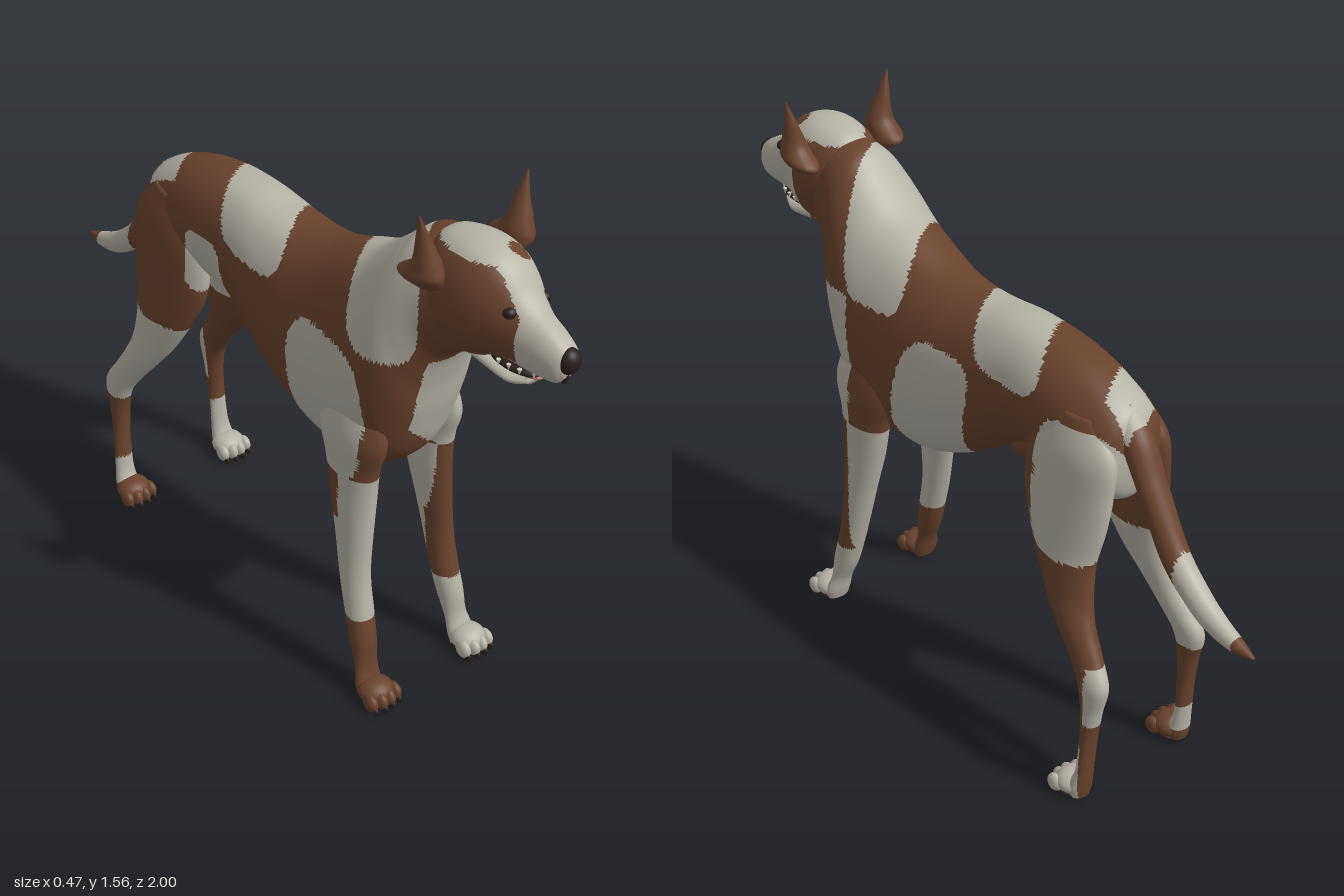
import * as THREE from 'three';

const mat = (name, color) => Object.assign(new THREE.MeshStandardMaterial({ color }), { name });

// rounded coat patch test: superellipse with half sizes ra, rb
const inPatch = (a, b, ca, cb, ra, rb) => ((a - ca) / ra) ** 4 + ((b - cb) / rb) ** 4 < 1;

// white areas of the torso, neck and upper legs
function coat(x, y, z) {
  const u = z + 0.62 * x; // bands run diagonally across the back
  if (inPatch(u, y, 0.415, 1.28, 0.12, 0.2)) return true;
  if (inPatch(u, y, -0.11, 1.24, 0.13, 0.165)) return true;
  if (x > -0.09 && x < 0.05 && inPatch(u, y, -0.515, 1.13, 0.06, 0.09)) return true;
  if (z > 0.41 && y > 0.68 && y < 1.085 && x > -0.07 + Math.max(0, 0.85 - y)) return true;
  if (x > 0) {
    return inPatch(z + 0.3 * (y - 0.87), y, 0.1, 0.87, 0.13, 0.2)
      || inPatch(z, y, -0.45, 0.885, 0.122, 0.185);
  }
  return x < -0.08 && (inPatch(z, y, 0.32, 0.86, 0.15, 0.2) || inPatch(z, y, -0.23, 0.96, 0.075, 0.1));
}

const headCoat = (x, y, z) => {
  if (x < -0.035 && z < 0.86 && y > 1.18 && y < 1.435) return false;
  if (((x - 0.05) / 0.025) ** 2 + ((z - 0.76) / 0.025) ** 2 < 1 && y > 1.36) return false;
  return z > 0.715 || (y > 1.42 && z > 0.575);
};

const frontCoat = (x, y, z) => {
  if (y > 0.68) return coat(x, y, z);
  if (x > 0) return y < 0.23 || z < 0.43 || x < 0.1;
  return y > 0.24 && !(z < 0.4 && y > 0.53);
};

const rearCoat = (x, y, z) => {
  if (x > 0) {
    if (y > 0.68) return coat(x, y, z);
    return (z < -0.598 && y > 0.27 && y < 0.45) || (y < 0.19 && z > -0.595);
  }
  return coat(x, y, z) || (y > 0.36 && y < 0.71) || (y > 0.05 && y < 0.14);
};

const tailCoat = (x, y, z) => (z < -0.745 && z > -0.94) || (z > -0.57 && coat(x, y, z));

// Loft through stations [Tz, Ty, Bz, By, halfWidth, centreX]; T and B are opposite ends of a section.
function loft(stations, rings, sides, isWhite, power = 1) {
  const top = new THREE.CatmullRomCurve3(stations.map(s => new THREE.Vector3(s[0], s[1], s[4])), false, 'catmullrom');
  const low = new THREE.CatmullRomCurve3(stations.map(s => new THREE.Vector3(s[2], s[3], s[5] || 0)), false, 'catmullrom');
  const pos = [], white = [], brown = [];
  for (let i = -1; i <= rings + 1; i++) {
    const t = Math.min(Math.max(i / rings, 0), 1);
    const T = top.getPoint(t), B = low.getPoint(t);
    const k = i < 0 || i > rings ? 0 : 1; // closed ends
    for (let j = 0; j < sides; j++) {
      const a = j / sides * Math.PI * 2, c = Math.cos(a), s = Math.sin(a) * k;
      const w = Math.sign(c) * Math.abs(c) ** power * T.z * k;
      pos.push(B.z + w, (T.y + B.y) / 2 + s * (T.y - B.y) / 2, (T.x + B.x) / 2 + s * (T.x - B.x) / 2);
    }
  }
  const face = (...f) => {
    const m = [0, 1, 2].map(q => f.reduce((sum, v) => sum + pos[v * 3 + q], 0) / 3);
    (isWhite(...m) ? white : brown).push(...f);
  };
  for (let i = 0; i < rings + 2; i++) {
    for (let j = 0; j < sides; j++) {
      const a = i * sides + j, b = i * sides + (j + 1) % sides;
      face(a, b, a + sides);
      face(b, b + sides, a + sides);
    }
  }
  const g = new THREE.BufferGeometry();
  g.setAttribute('position', new THREE.Float32BufferAttribute(pos, 3));
  g.setIndex([...white, ...brown]);
  g.addGroup(0, white.length, 0);
  g.addGroup(white.length, brown.length, 1);
  g.computeVertexNormals();
  return g;
}

export function createModel() {
  const dog = new THREE.Group();
  dog.name = 'dog';
  const white = mat('whiteCoat', 0xb6b3a7), brown = mat('brownCoat', 0x69432f);
  const dark = mat('darkSkin', 0x2a1f1c), pink = mat('tonguePink', 0xb0706c), ivory = mat('toothIvory', 0xd2ccbc);

  const add = (name, geometry, material, x = 0, y = 0, z = 0) => {
    const m = new THREE.Mesh(geometry, material);
    m.name = name;
    m.position.set(x, y, z);
    dog.add(m);
    return m;
  };
  const skin = (name, stations, rings, sides, rule, power) =>
    add(name, loft(stations, rings, sides, rule, power), [white, brown]);
  const ball = (name, material, x, y, z, sx, sy, sz) => {
    const m = add(name, new THREE.SphereGeometry(1, 20, 14), material, x, y, z);
    m.scale.set(sx, sy, sz);
    return m;
  };

  // torso and neck, rump to throat
  skin('body', [
    [-0.57, 1.05, -0.575, 0.95, 0.03], [-0.53, 1.12, -0.54, 0.87, 0.1], [-0.42, 1.175, -0.43, 0.84, 0.125],
    [-0.29, 1.205, -0.28, 0.872, 0.132], [-0.14, 1.215, -0.16, 0.848, 0.13], [-0.02, 1.2, -0.02, 0.75, 0.148],
    [0.08, 1.195, 0.1, 0.68, 0.16], [0.18, 1.21, 0.24, 0.635, 0.166], [0.29, 1.255, 0.4, 0.65, 0.173],
    [0.37, 1.29, 0.5, 0.73, 0.178], [0.44, 1.345, 0.555, 0.87, 0.166], [0.49, 1.39, 0.585, 1, 0.145],
    [0.53, 1.42, 0.625, 1.1, 0.124], [0.6, 1.435, 0.69, 1.15, 0.1], [0.65, 1.42, 0.72, 1.2, 0.08],
  ], 170, 110, coat, 0.88);

  // skull with upper muzzle, and lower jaw
  skin('head', [
    [0.56, 1.42, 0.6, 1.2, 0.06], [0.6, 1.45, 0.62, 1.165, 0.1], [0.68, 1.465, 0.69, 1.155, 0.115, 0.003],
    [0.75, 1.455, 0.74, 1.165, 0.108, 0.006], [0.8, 1.425, 0.78, 1.185, 0.09, 0.009],
    [0.84, 1.378, 0.83, 1.19, 0.07, 0.012], [0.88, 1.345, 0.87, 1.188, 0.058, 0.012],
    [0.93, 1.32, 0.92, 1.19, 0.05, 0.014], [0.97, 1.295, 0.955, 1.195, 0.04, 0.015],
    [0.985, 1.275, 0.972, 1.215, 0.022, 0.015],
  ], 90, 60, headCoat, 0.85);
  skin('lowerJaw', [
    [0.69, 1.21, 0.7, 1.15, 0.06, 0.01], [0.76, 1.185, 0.755, 1.138, 0.052, 0.011],
    [0.83, 1.163, 0.825, 1.13, 0.043, 0.012], [0.878, 1.166, 0.875, 1.148, 0.024, 0.012],
  ], 24, 24, headCoat);

  // nose, mouth and eyes
  ball('nose', dark, 0.015, 1.262, 0.972, 0.03, 0.034, 0.028);
  ball('noseGroove', dark, 0.015, 1.22, 0.962, 0.012, 0.026, 0.012);
  ball('mouthInterior', dark, 0.012, 1.178, 0.81, 0.042, 0.016, 0.085);
  ball('tongue', pink, 0.012, 1.172, 0.845, 0.026, 0.01, 0.055);
  for (const s of [-1, 1]) {
    [[0.02, 0.89], [0.037, 0.86], [0.043, 0.83], [0.047, 0.8]].forEach(([dx, z], i) => {
      add('upperTooth', new THREE.ConeGeometry(0.006, i ? 0.018 : 0.028, 8), ivory, 0.012 + s * dx, 1.185, z).rotation.x = Math.PI;
    });
    add('lowerTooth', new THREE.ConeGeometry(0.006, 0.026, 8), ivory, 0.012 + s * 0.017, 1.176, 0.868);
    ball('eye', dark, 0.012 + s * 0.053, 1.342, 0.832, 0.018, 0.015, 0.017);

    // ear: pointed blade widening into a flap at its base
    skin('ear', [
      [0.658, 1.56, 0.652, 1.56, 0.002, s * 0.167], [0.675, 1.5, 0.637, 1.5, 0.016, s * 0.154],
      [0.7, 1.43, 0.62, 1.43, 0.034, s * 0.143], [0.708, 1.4, 0.57, 1.385, 0.04, s * 0.142],
      [0.69, 1.365, 0.6, 1.36, 0.03, s * 0.125],
    ], 24, 20, () => false);

    // front leg
    skin('frontLeg', [
      [0.48, 0.92, 0.3, 0.95, 0.035, s * 0.11], [0.515, 0.8, 0.28, 0.8, 0.053, s * 0.125],
      [0.49, 0.7, 0.31, 0.7, 0.052, s * 0.128], [0.482, 0.6, 0.335, 0.58, 0.048, s * 0.13],
      [0.482, 0.48, 0.365, 0.46, 0.041, s * 0.138], [0.485, 0.36, 0.395, 0.34, 0.038, s * 0.146],
      [0.505, 0.25, 0.425, 0.24, 0.038, s * 0.15], [0.525, 0.17, 0.45, 0.16, 0.036, s * 0.155],
      [0.53, 0.1, 0.485, 0.09, 0.034, s * 0.16], [0.545, 0.05, 0.5, 0.04, 0.04, s * 0.165],
      [0.55, 0.01, 0.51, 0.01, 0.035, s * 0.165],
    ], 110, 40, frontCoat);

    // hind leg with thigh and hock
    skin('hindLeg', [
      [-0.31, 1.1, -0.49, 1.1, 0.035, s * 0.075], [-0.265, 0.98, -0.562, 1.01, 0.056, s * 0.088],
      [-0.258, 0.88, -0.565, 0.9, 0.058, s * 0.097], [-0.275, 0.8, -0.555, 0.8, 0.057, s * 0.107],
      [-0.315, 0.72, -0.537, 0.7, 0.054, s * 0.12], [-0.375, 0.62, -0.545, 0.6, 0.048, s * 0.135],
      [-0.435, 0.54, -0.572, 0.53, 0.042, s * 0.15], [-0.51, 0.45, -0.615, 0.46, 0.036, s * 0.16],
      [-0.555, 0.38, -0.652, 0.395, 0.033, s * 0.17], [-0.572, 0.3, -0.635, 0.31, 0.028, s * 0.172],
      [-0.577, 0.2, -0.62, 0.21, 0.027, s * 0.175], [-0.57, 0.1, -0.61, 0.1, 0.029, s * 0.178],
      [-0.55, 0.045, -0.605, 0.04, 0.035, s * 0.18], [-0.55, 0.01, -0.6, 0.01, 0.03, s * 0.18],
    ], 120, 40, rearCoat);

    // paws: pad, foot, four toes and claws
    for (const [end, cx, cz] of [['front', 0.166, 0.556], ['hind', 0.178, -0.549]]) {
      const fur = s > 0 ? white : brown;
      ball(end + 'Paw', fur, s * cx, 0.038, cz, 0.05, 0.034, 0.048);
      ball(end + 'PawPad', dark, s * cx, 0.012, cz, 0.044, 0.012, 0.046);
      [-1.5, -0.5, 0.5, 1.5].forEach(k => {
        const x = s * cx + k * 0.027, z = cz + 0.04 - Math.abs(k) * 0.008;
        ball(end + 'Toe', fur, x, 0.03, z, 0.016, 0.026, 0.026);
        ball(end + 'Claw', dark, x, 0.014, z + 0.019, 0.008, 0.013, 0.012);
      });
    }
  }

  // fold under the belly
  const fold = ball('bellyFold', brown, 0, 0.825, -0.15, 0.026, 0.032, 0.08);
  fold.rotation.x = 0.6;

  // tail, tip to root
  skin('tail', [
    [-1, 0.648, -0.998, 0.64, 0.005, 0.016], [-0.95, 0.67, -0.94, 0.63, 0.02, 0.016],
    [-0.885, 0.7, -0.865, 0.642, 0.029, 0.016], [-0.823, 0.742, -0.795, 0.676, 0.034, 0.016],
    [-0.743, 0.82, -0.69, 0.765, 0.038, 0.015], [-0.65, 0.968, -0.6, 0.915, 0.042, 0.012],
    [-0.592, 1.07, -0.54, 1, 0.045, 0.008], [-0.52, 1.128, -0.48, 1.03, 0.045, 0],
  ], 80, 28, tailCoat);

  return dog;
}
